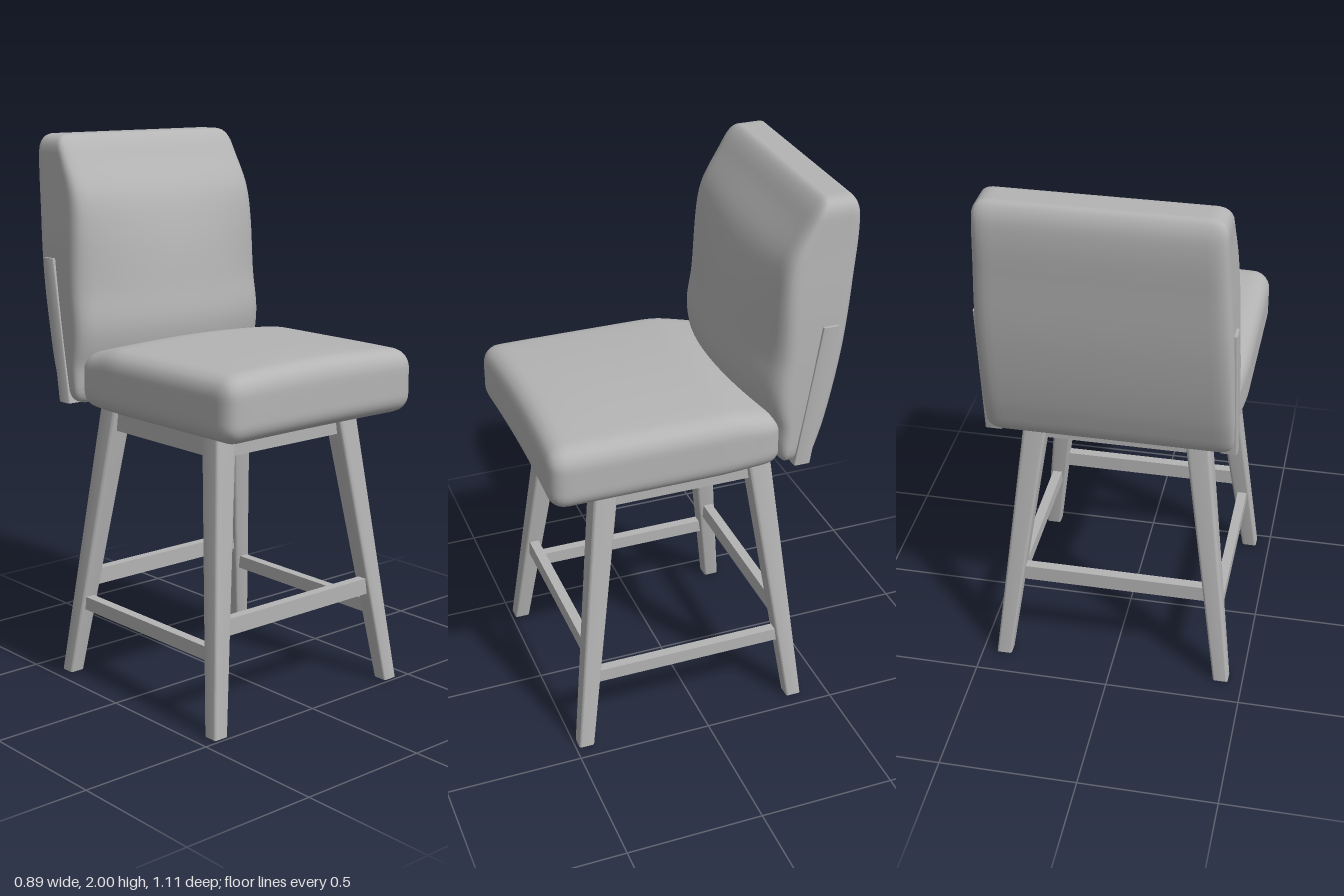
import * as THREE from 'three';
import { mergeVertices, toCreasedNormals } from 'three/addons/utils/BufferGeometryUtils.js';

const grey = new THREE.MeshStandardMaterial({ color: 0xb4b4b4 });
grey.name = 'grey';

// Smooth curve through [position, value] pairs
function curve(pairs) {
  const c = new THREE.CubicInterpolant(pairs.map(p => p[0]), pairs.map(p => p[1]), 1, new Float32Array(1));
  return t => c.evaluate(t)[0];
}

// Dense rounded block whose points are then moved by a rule
function cushion(name, size, radius, segments, rule) {
  const box = new THREE.BoxGeometry(...size, ...segments);
  box.deleteAttribute('uv');
  box.deleteAttribute('normal');
  const geo = mergeVertices(box);
  const pos = geo.attributes.position;
  const p = new THREE.Vector3(), core = new THREE.Vector3();
  const limit = new THREE.Vector3(...size).multiplyScalar(0.5).subScalar(radius);
  for (let i = 0; i < pos.count; i++) {
    p.fromBufferAttribute(pos, i);
    core.copy(p).clamp(limit.clone().negate(), limit);
    p.sub(core).setLength(radius).add(core);
    rule(p);
    pos.setXYZ(i, p.x, p.y, p.z);
  }
  geo.computeVertexNormals();
  const mesh = new THREE.Mesh(geo, grey);
  mesh.name = name;
  return mesh;
}

// Leaning, tapering square post with softened edges and level ends
function post(name, from, to, sizeFrom, sizeTo) {
  const s = new THREE.Shape();
  const a = 0.5, b = 0.34;
  s.moveTo(-b, -a);
  s.lineTo(b, -a).quadraticCurveTo(a, -a, a, -b);
  s.lineTo(a, b).quadraticCurveTo(a, a, b, a);
  s.lineTo(-b, a).quadraticCurveTo(-a, a, -a, b);
  s.lineTo(-a, -b).quadraticCurveTo(-a, -a, -b, -a);
  const geo = new THREE.ExtrudeGeometry(s, { depth: 1, bevelEnabled: false, curveSegments: 4 });
  geo.rotateX(-Math.PI / 2);
  const pos = geo.attributes.position;
  for (let i = 0; i < pos.count; i++) {
    const t = pos.getY(i), k = THREE.MathUtils.lerp(sizeFrom, sizeTo, t);
    pos.setXYZ(i,
      pos.getX(i) * k + THREE.MathUtils.lerp(from[0], to[0], t),
      THREE.MathUtils.lerp(from[1], to[1], t),
      pos.getZ(i) * k + THREE.MathUtils.lerp(from[2], to[2], t));
  }
  const mesh = new THREE.Mesh(toCreasedNormals(geo, 0.7), grey);
  mesh.name = name;
  return mesh;
}

function bar(name, size, at) {
  const mesh = new THREE.Mesh(new THREE.BoxGeometry(...size), grey);
  mesh.name = name;
  mesh.position.set(...at);
  return mesh;
}

export function createModel() {
  const model = new THREE.Group();
  model.name = 'counterStool';

  // Seat cushion: crowned top, slightly hollow front edge, falling towards the back
  model.add(cushion('seatCushion', [0.88, 0.22, 0.86], 0.065, [36, 14, 36], p => {
    const u = p.x / 0.44, w = p.z / 0.43, up = THREE.MathUtils.smoothstep(p.y, -0.05, 0.11);
    const crown = 0.022 * (1 - u * u) * (1 - 0.6 * w ** 4);
    p.y += 1.14 + up * (crown + 0.008 - 0.03 * THREE.MathUtils.smoothstep(-w, 0.5, 1));
    p.x *= 1 - 0.04 * THREE.MathUtils.smoothstep(-w, 0.4, 1);
    p.z += 0.127 - 0.012 * Math.max(0, w) * (1 - u * u);
  }));

  // Backrest cushion: side profile with a padded front that bulges in the middle
  const front = curve([[1.04, -0.29], [1.15, -0.225], [1.3, -0.19], [1.45, -0.207], [1.66, -0.244], [1.79, -0.286], [1.915, -0.365], [2, -0.415]]);
  const back = curve([[1.04, -0.4], [1.2, -0.453], [1.45, -0.508], [1.7, -0.54], [1.93, -0.557], [2, -0.545]]);
  const half = curve([[1.04, 0.434], [1.3, 0.434], [1.6, 0.426], [1.85, 0.412], [2, 0.404]]);
  model.add(cushion('backCushion', [0.87, 0.96, 0.3], 0.05, [36, 44, 18], p => {
    const u = p.x / 0.435, w = p.z / 0.3 + 0.5;
    p.y += 1.52;
    const bulge = 0.075 * u * u * (1 - THREE.MathUtils.smoothstep(p.y, 1.4, 1.95))
      * THREE.MathUtils.smoothstep(p.y, 1.02, 1.2);
    p.x = u * half(p.y);
    p.z = THREE.MathUtils.lerp(back(p.y), front(p.y) - bulge, w);
  }));

  for (const s of [-1, 1]) {
    const side = s > 0 ? 'left' : 'right';
    // Legs and the uprights that hold the backrest
    model.add(post(side + 'FrontLeg', [s * 0.418, 0, 0.458], [s * 0.285, 1.05, 0.32], 0.057, 0.088));
    model.add(post(side + 'BackLeg', [s * 0.418, 0, -0.372], [s * 0.285, 1.05, -0.243], 0.057, 0.088));
    model.add(post(side + 'BackUpright', [s * 0.413, 1.04, -0.36], [s * 0.411, 1.56, -0.447], 0.062, 0.056));
    // Side rails
    model.add(bar(side + 'Apron', [0.04, 0.1, 0.54], [s * 0.295, 0.99, 0.04]));
    model.add(bar(side + 'Stretcher', [0.036, 0.05, 0.75], [s * 0.384, 0.275, 0.042]));
  }

  // Front and back rails
  for (const [end, apronZ, stretcherZ] of [['front', 0.326, 0.41], ['back', -0.25, -0.328]]) {
    model.add(bar(end + 'Apron', [0.56, 0.1, 0.04], [0, 0.99, apronZ]));
    model.add(bar(end + 'Stretcher', [0.73, 0.06, 0.036], [0, 0.365, stretcherZ]));
  }
  return model;
}
